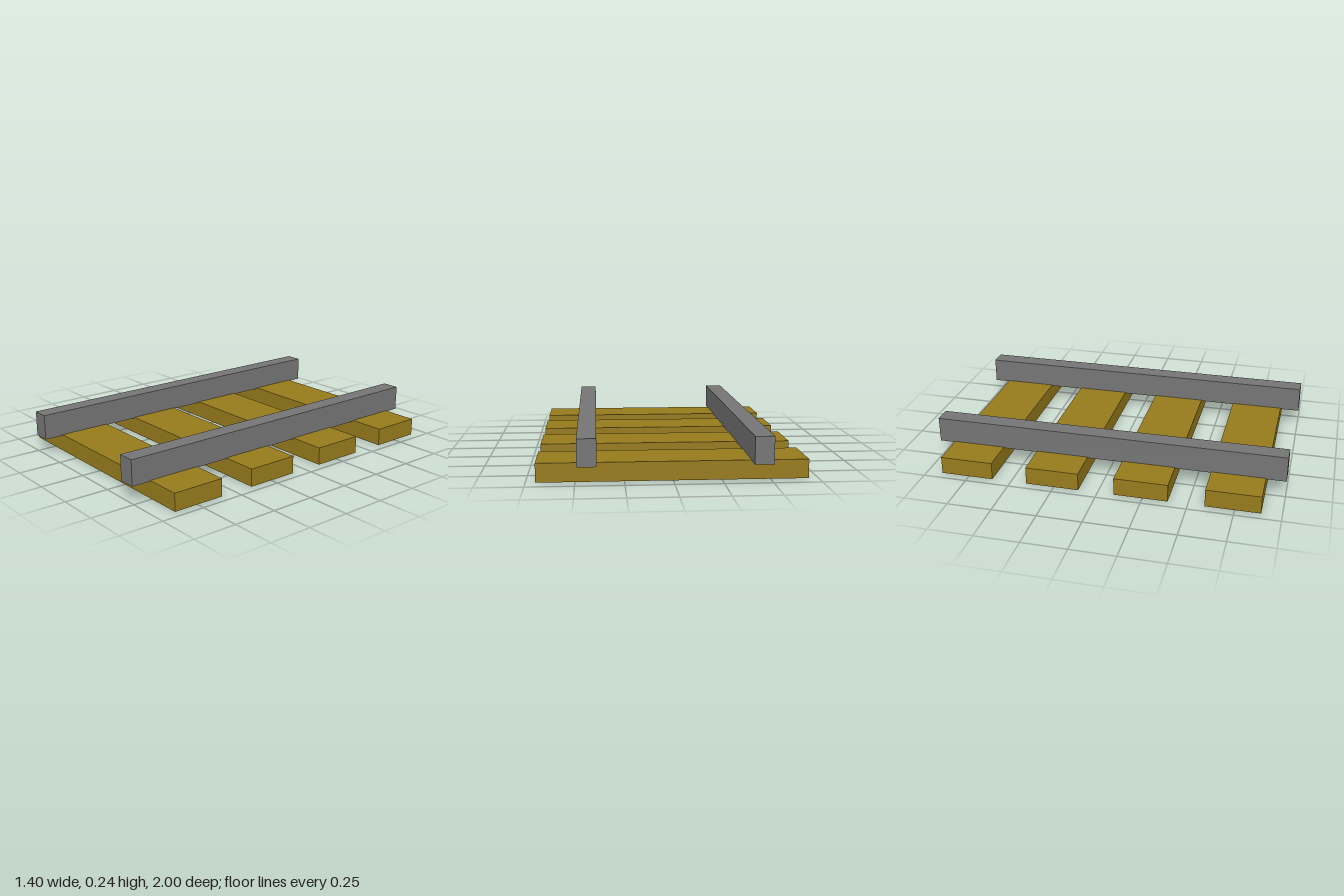
import * as THREE from 'three';

export function createModel() {
  const model = new THREE.Group();
  model.name = 'railTrack';

  const wood = new THREE.MeshStandardMaterial({ color: 0x967b1c });
  const steel = new THREE.MeshStandardMaterial({ color: 0x757575 });

  function addBox(name, material, size, position) {
    const mesh = new THREE.Mesh(new THREE.BoxGeometry(...size), material);
    mesh.name = name;
    mesh.position.set(...position);
    model.add(mesh);
  }

  // Four evenly spaced sleepers lying across the track
  for (let i = 0; i < 4; i++) {
    addBox(`sleeper${i + 1}`, wood, [1.4, 0.1, 0.3], [0, 0.05, -0.76 + i * 0.5]);
  }

  // Two rails, sunk very slightly into the sleepers
  addBox('rightRail', steel, [0.1, 0.144, 2], [-0.452, 0.167, 0]);
  addBox('leftRail', steel, [0.1, 0.144, 2], [0.44, 0.167, 0]);

  return model;
}
